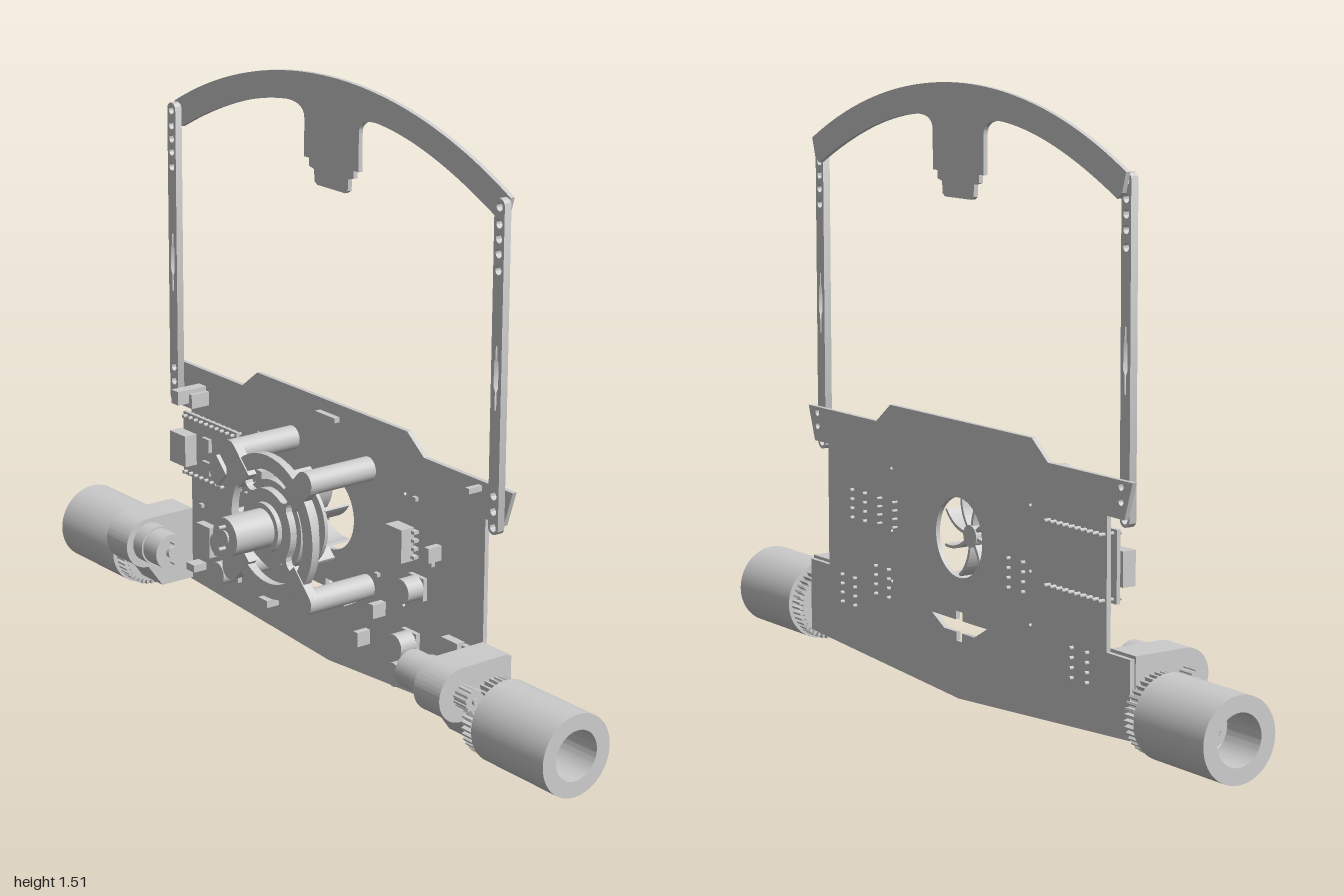
import * as THREE from 'three';
import { toCreasedNormals } from 'three/addons/utils/BufferGeometryUtils.js';

const grey = new THREE.MeshStandardMaterial({ color: 0xcccccc, side: THREE.DoubleSide });
const FRONT = -0.145, BACK = -0.157, FAN_Y = 0.41;

export function createModel() {
  const root = new THREE.Group();
  let target = root;
  const group = (name) => {
    target = new THREE.Group();
    target.name = name;
    root.add(target);
    return target;
  };
  const add = (name, geo, x = 0, y = 0, z = 0) => {
    const m = new THREE.Mesh(geo, grey);
    m.name = name;
    m.position.set(x, y, z);
    target.add(m);
    return m;
  };
  // box given by its ranges
  const box = (name, x0, x1, y0, y1, z0, z1) =>
    add(name, new THREE.BoxGeometry(x1 - x0, y1 - y0, z1 - z0), (x0 + x1) / 2, (y0 + y1) / 2, (z0 + z1) / 2);
  const rodZ = (name, r, x, y, z0, z1, n = 24) =>
    add(name, new THREE.CylinderGeometry(r, r, z1 - z0, n).rotateX(Math.PI / 2), x, y, (z0 + z1) / 2);
  const rodX = (name, r, x0, x1, y, z, n = 32) =>
    add(name, new THREE.CylinderGeometry(r, r, Math.abs(x1 - x0), n).rotateZ(Math.PI / 2), (x0 + x1) / 2, y, z);
  const extrude = (shape, depth) =>
    toCreasedNormals(new THREE.ExtrudeGeometry(shape, { depth, bevelEnabled: false, curveSegments: 24 }), 0.6);
  const poly = (pts, Type = THREE.Shape) => new Type(pts.map(([x, y]) => new THREE.Vector2(x, y)));
  const mirrored = (half) => [...half, ...half.filter(([x]) => x !== 0).reverse().map(([x, y]) => [-x, y])];
  const hole = (x, y, r) => new THREE.Path().absarc(x, y, r, 0, Math.PI * 2, true);

  // Main circuit board
  group('circuitBoard');
  const board = poly(mirrored([[0, 0.005], [0.69, 0.05], [0.69, 0.24], [0.6, 0.24], [0.6, 0.56], [0.665, 0.56],
    [0.695, 0.65], [0.37, 0.65], [0.305, 0.7]]));
  board.holes.push(hole(0, FAN_Y, 0.1));
  board.holes.push(poly(mirrored([[0, 0.15], [0.012, 0.15], [0.012, 0.172], [0.065, 0.172], [0.12, 0.203],
    [0.014, 0.203], [0.014, 0.225], [0, 0.225]]), THREE.Path));
  for (const x of [-0.652, 0.652]) for (const y of [0.6, 0.635]) board.holes.push(hole(x, y, 0.009));
  for (const x of [-0.3, 0.3]) for (const y of [0.38, 0.25, 0.54]) board.holes.push(hole(x, y, 0.005));
  add('boardPlate', extrude(board, FRONT - BACK), 0, 0, BACK);
  box('topConnector', -0.04, 0.04, 0.655, 0.668, FRONT, -0.128);

  // Curved sensor bar above the board
  group('sensorArch');
  const arch = new THREE.Shape();
  arch.absarc(0, 0.134, 1.386, Math.PI / 2 - 0.5, Math.PI / 2 + 0.5, false);
  arch.lineTo(-0.65, 1.302);
  arch.lineTo(-0.632, 1.288);
  arch.quadraticCurveTo(-0.38, 1.42, -0.18, 1.437);
  arch.quadraticCurveTo(-0.108, 1.44, -0.108, 1.4);
  for (const [x, y] of [[-0.108, 1.305], [-0.088, 1.305], [-0.088, 1.285], [-0.068, 1.28], [-0.066, 1.25], [-0.055, 1.243],
    [0.055, 1.243], [0.066, 1.25], [0.068, 1.28], [0.088, 1.285], [0.088, 1.305], [0.108, 1.305], [0.108, 1.4]]) arch.lineTo(x, y);
  arch.quadraticCurveTo(0.108, 1.44, 0.18, 1.437);
  arch.quadraticCurveTo(0.38, 1.42, 0.632, 1.288);
  arch.lineTo(0.65, 1.302);
  add('archPlate', extrude(arch, 0.012), 0, 0, BACK);

  // Side arms with rounded ends, screw holes and a slot
  for (const s of [-1, 1]) {
    group(s > 0 ? 'leftArm' : 'rightArm');
    const arm = new THREE.Shape();
    arm.absarc(0, 0.557, 0.018, Math.PI, 0, false);
    arm.absarc(0, 1.332, 0.018, 0, Math.PI, false);
    for (const y of [0.557, 0.597, 0.635, 1.18, 1.22, 1.255, 1.29, 1.33]) arm.holes.push(hole(0, y, 0.0105));
    arm.holes.push(poly(mirrored([[0, 0.845], [0.003, 0.845], [0.003, 0.89], [0.008, 0.9],
      [0.008, 0.96], [0.003, 0.97], [0.003, 1], [0, 1]]), THREE.Path));
    add('armBar', extrude(arm, 0.02), s * 0.65, 0, FRONT);
  }

  // Suction fan: posts, face plate, motor and impeller
  group('fan');
  const plate = new THREE.Shape().absarc(0, 0, 0.187, 0, Math.PI * 2, false);
  for (let i = 0; i < 4; i++) {
    const a = i * Math.PI / 2;
    const slot = new THREE.Path();
    slot.absarc(0, 0, 0.148, a - 0.56, a + 0.56, false);
    slot.absarc(0.123 * Math.cos(a + 0.56), 0.123 * Math.sin(a + 0.56), 0.025, a + 0.56, a + 0.56 + Math.PI, false);
    slot.absarc(0, 0, 0.098, a + 0.56, a - 0.56, true);
    slot.absarc(0.123 * Math.cos(a - 0.56), 0.123 * Math.sin(a - 0.56), 0.025, a - 0.56 + Math.PI, a - 0.56 + Math.PI * 2, false);
    plate.holes.push(slot);
  }
  add('facePlate', extrude(plate, 0.022), 0, FAN_Y, 0.03);
  for (const sx of [-1, 1]) for (const sy of [-1, 1]) {
    rodZ('post', 0.031, sx * 0.155, FAN_Y + sy * 0.155, FRONT, 0.055);
    const lug = add('lug', new THREE.BoxGeometry(0.09, 0.062, 0.025), sx * 0.125, FAN_Y + sy * 0.125, 0.0425);
    lug.rotation.z = sx * sy * Math.PI / 4;
  }
  const tube = (name, r0, r1, z0, z1) => {
    const s = new THREE.Shape().absarc(0, 0, r1, 0, Math.PI * 2, false);
    s.holes.push(hole(0, 0, r0));
    return add(name, extrude(s, z1 - z0), 0, FAN_Y, z0);
  };
  tube('motorCollar', 0.048, 0.064, 0.03, 0.065);
  tube('innerRing', 0.1, 0.118, -0.022, 0.034);
  rodZ('fanMotor', 0.05, 0, FAN_Y, -0.04, 0.18, 40);
  rodZ('motorTip', 0.018, 0, FAN_Y, 0.18, 0.185);
  for (const dy of [-0.028, 0.028]) rodZ('motorPin', 0.005, 0, FAN_Y + dy, 0.18, 0.2, 10);
  rodZ('impellerDisc', 0.118, 0, FAN_Y, -0.05, -0.04, 48);
  rodZ('impellerHub', 0.028, 0, FAN_Y, -0.125, -0.04);
  for (let i = 0; i < 8; i++) {
    const blade = new THREE.Shape();
    blade.moveTo(0.02, 0);
    blade.quadraticCurveTo(0.08, 0.005, 0.11, 0.05);
    blade.lineTo(0.104, 0.053);
    blade.quadraticCurveTo(0.075, 0.013, 0.02, 0.008);
    add('blade', extrude(blade, 0.075), 0, FAN_Y, -0.122).rotation.z = i * Math.PI / 4;
  }

  // Drive units: gearbox bracket, motor, gears and hollow wheel
  const gear = (r, teeth, depth, bore) => {
    const pts = [];
    for (let i = 0; i < teeth; i++) for (const [o, k] of [[0, r * 0.88], [0.3, r * 0.88], [0.45, r], [0.8, r]]) {
      const a = (i + o) / teeth * Math.PI * 2;
      pts.push([k * Math.cos(a), k * Math.sin(a)]);
    }
    const s = poly(pts);
    s.holes.push(hole(0, 0, bore));
    return new THREE.ExtrudeGeometry(s, { depth, bevelEnabled: false }).translate(0, 0, -depth / 2).rotateY(Math.PI / 2);
  };
  for (const s of [-1, 1]) {
    group(s > 0 ? 'leftDrive' : 'rightDrive');
    const side = new THREE.Shape();
    side.moveTo(0.145, 0.05);
    side.lineTo(0.145, 0.248);
    side.lineTo(0, 0.248);
    side.absarc(0, 0.18, 0.068, Math.PI / 2, Math.PI * 1.5, false);
    side.lineTo(0.045, 0.05);
    add('bracket', extrude(side, 0.095).translate(0, 0, -0.0475).rotateY(Math.PI / 2), s * 0.6475, 0, 0);
    rodZ('bracketScrew', 0.01, s * 0.645, 0.09, -0.06, -0.038, 12);
    rodX('motorCollar', 0.053, s * 0.56, s * 0.61, 0.183, -0.005);
    rodX('driveMotor', 0.048, s * 0.5, s * 0.6, 0.183, -0.005);
    rodX('motorTip', 0.016, s * 0.488, s * 0.5, 0.183, -0.005, 16);
    for (const d of [-0.028, 0.028]) rodX('motorPin', 0.004, s * 0.48, s * 0.5, 0.183 + d, -0.005, 8);
    add('wheelGear', gear(0.097, 40, 0.035, 0.03), s * 0.722, 0.11, -0.089);
    add('pinion', gear(0.028, 12, 0.045, 0.008), s * 0.72, 0.18, 0);
    rodX('pinionShaft', 0.009, s * 0.69, s * 0.75, 0.18, 0, 12);
    rodX('axle', 0.035, s * 0.69, s * 0.76, 0.11, -0.089);
    const rim = [[0, 0.748], [0.103, 0.748], [0.103, 1], [0.063, 1], [0.063, 0.88], [0.045, 0.87],
      [0.045, 0.9], [0.028, 0.9], [0.028, 0.88], [0.014, 0.88], [0.014, 0.91], [0, 0.91]];
    const wheel = new THREE.LatheGeometry(rim.map(([r, y]) => new THREE.Vector2(r, y)), 64);
    add('wheel', toCreasedNormals(wheel, 0.6), 0, 0.11, -0.089).rotation.z = -s * Math.PI / 2;
  }

  // Controller module with pin rows
  group('controllerModule');
  box('modulePlate', -0.605, -0.365, 0.35, 0.525, -0.132, -0.122);
  box('socket', -0.615, -0.545, 0.39, 0.475, -0.122, -0.085);
  box('moduleButton', -0.392, -0.365, 0.4, 0.465, -0.122, -0.108);
  for (const y of [0.395, 0.46]) box('moduleChip', -0.508, -0.476, y - 0.018, y + 0.018, -0.122, -0.112);
  box('moduleProcessor', -0.03, 0.03, -0.03, 0.03, -0.006, 0.006).position.set(-0.44, 0.405, -0.116);
  target.children.at(-1).rotation.z = Math.PI / 4;
  for (let i = 0; i < 10; i++) for (const y of [0.36, 0.515])
    rodZ('pin', 0.005, -0.59 + i * 0.0235, y, -0.175, -0.11, 8);

  // Electronic parts on the front face
  group('components');
  for (const [x, y] of [[-0.405, 0.213], [-0.405, 0.132], [0.36, 0.317], [0.335, 0.165], [0.335, 0.09]]) {
    box('capacitorBase', x - 0.029, x + 0.029, y - 0.029, y + 0.029, FRONT, -0.133);
    rodZ('capacitor', 0.031, x, y, -0.133, -0.085);
  }
  const chip = (x, y, w, h, z1) => {
    box('chip', x - w / 2, x + w / 2, y - h / 2, y + h / 2, FRONT + 0.006, z1);
    for (let i = 0; i < 4; i++) for (const s of [-1, 1]) {
      const lx = x + s * (w / 2 + 0.004), ly = y + (i - 1.5) * h / 4;
      box('chipLeg', lx - 0.008, lx + 0.008, ly - 0.004, ly + 0.004, FRONT, -0.13);
      if (z1 > -0.11) rodZ('legEnd', 0.004, lx, ly, -0.172, FRONT, 8);
    }
  };
  chip(0.312, 0.423, 0.062, 0.086, -0.1);
  chip(0.51, 0.188, 0.06, 0.085, -0.115);
  chip(-0.51, 0.188, 0.06, 0.085, -0.115);
  box('slideSwitchBody', -0.27, -0.22, 0.3, 0.42, FRONT, -0.085);
  box('slideSwitchRear', -0.257, -0.233, 0.42, 0.458, FRONT, -0.105);
  box('slideSwitchLever', -0.258, -0.232, 0.315, 0.405, -0.085, -0.065);
  rodZ('slideSwitchKnob', 0.011, -0.245, 0.36, -0.065, -0.03, 12);
  box('pushButton', -0.575, -0.52, 0.557, 0.595, FRONT, -0.09);
  box('pushButtonCap', -0.563, -0.532, 0.57, 0.607, FRONT, -0.055);
  for (const [x, y, w, h] of [[0.22, 0.217, 0.02, 0.036], [0.16, 0.123, 0.018, 0.038], [0.432, 0.427, 0.018, 0.038],
    [0.565, 0.1, 0.038, 0.02], [-0.23, 0.1, 0.038, 0.02], [0.578, 0.632, 0.014, 0.014], [-0.555, 0.1, 0.036, 0.02]])
    box('smallPart', x - w / 2, x + w / 2, y - h / 2, y + h / 2, FRONT, -0.105);
  for (const [x, y] of [[-0.55, 0.27], [-0.39, 0.28], [-0.24, 0.24], [0.345, 0.54], [0.41, 0.39], [0.535, 0.06], [-0.35, 0.19], [0.2, 0.3]])
    box('tinyPart', x - 0.007, x + 0.007, y - 0.005, y + 0.005, FRONT, -0.135);

  // Solder pins on the back face
  group('solderPins');
  for (const [x, y] of [[0.45, 0.42], [0.34, 0.24], [0.5, 0.19], [-0.5, 0.19], [-0.245, 0.36]])
    for (let i = 0; i < 4; i++) for (const dx of [-0.03, 0.03])
      rodZ('solderPin', 0.005, x + dx, y + (i - 1.5) * 0.024, -0.168, BACK, 8);
  return root;
}
